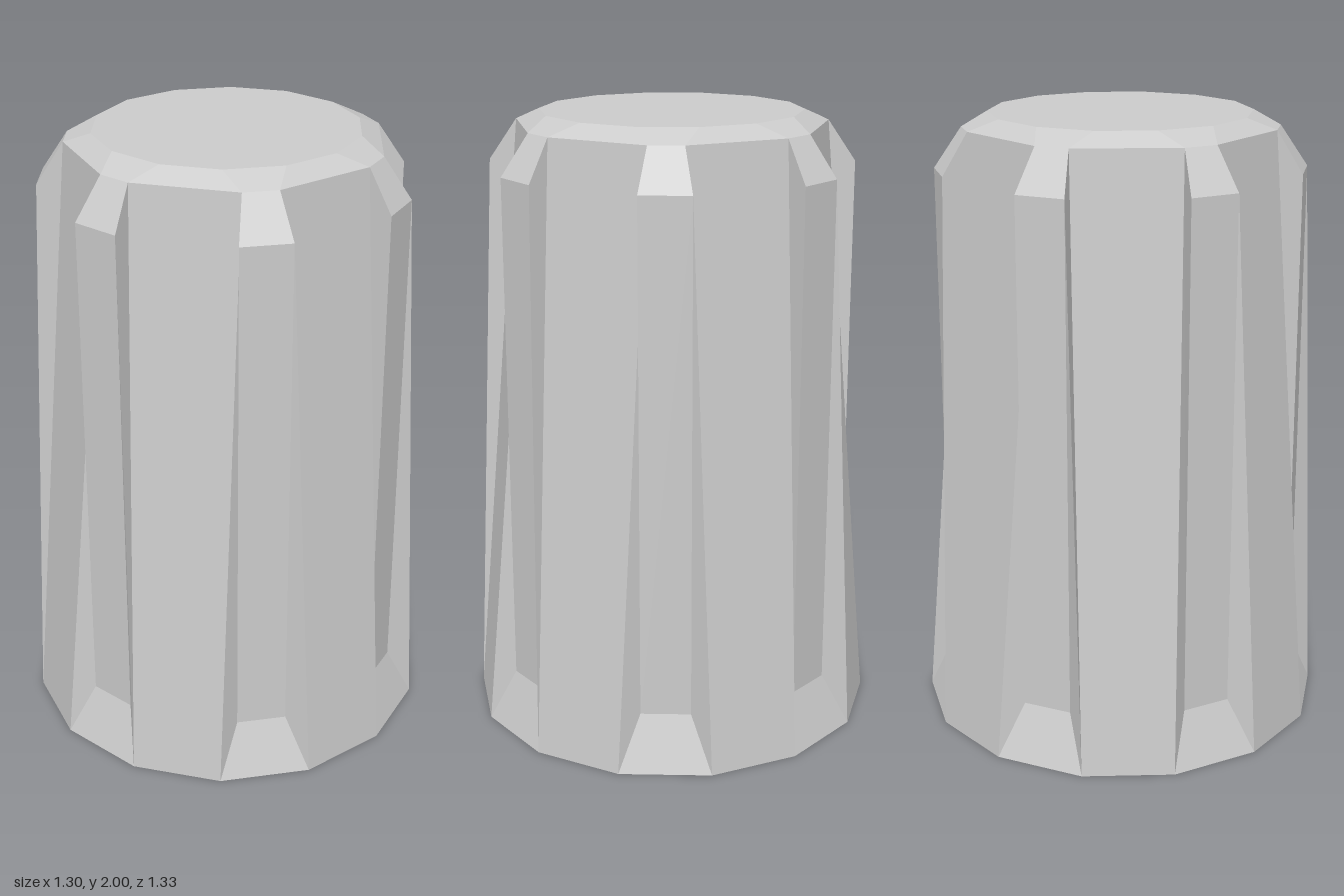
import * as THREE from 'three';

const COUNT = 7; // flutes around the body, alternating with ribs
const STEP = (Math.PI * 2) / COUNT;

// Ring of 14 corners: a pair at each flute, given distance from axis, half width, height
function ring(dist, half, y) {
  const points = [];
  for (let i = 0; i < COUNT; i++) {
    const c = Math.cos(i * STEP), s = Math.sin(i * STEP);
    for (const side of [-half, half]) {
      points.push([c * dist - s * side, y, s * dist + c * side]);
    }
  }
  return points;
}

const base = ring(0.648, 0.148, 0);
const low = ring(0.585, 0.08, 0.18);
const high = ring(0.585, 0.08, 1.83);
const shoulder = ring(0.5, 0.055, 1.96);
const rim = ring(0.41, 0.0935, 2);

// Flat-shaded mesh from a list of triangles
function facets(name, triangles) {
  const geometry = new THREE.BufferGeometry();
  geometry.setAttribute('position', new THREE.Float32BufferAttribute(triangles.flat(2), 3));
  geometry.computeVertexNormals();
  const mesh = new THREE.Mesh(geometry, new THREE.MeshStandardMaterial({
    color: 0xcccccc, flatShading: true, side: THREE.DoubleSide,
  }));
  mesh.name = name;
  return mesh;
}

// Quad between two rings, from corner r (right) to corner l (left)
const band = (lower, upper, r, l) => [
  [lower[l], lower[r], upper[r]],
  [lower[l], upper[r], upper[l]],
];

export function createModel() {
  const group = new THREE.Group();
  group.name = 'flutedCap';
  const flutes = [], ribs = [], walls = [], bevel = [], top = [], bottom = [];

  for (let i = 0; i < COUNT; i++) {
    const a = 2 * i, b = a + 1, c = (a + 2) % (2 * COUNT);
    // Upright flute with a sloping foot and shoulder
    flutes.push(...band(base, low, a, b), ...band(low, high, a, b), ...band(high, shoulder, a, b));
    // Leaning rib between two flutes
    ribs.push(...band(base, shoulder, b, c));
    // Thin walls joining the rib to the flutes on both sides
    walls.push(
      [base[b], low[b], shoulder[b]], [low[b], high[b], shoulder[b]],
      [base[c], shoulder[c], high[c]], [base[c], high[c], low[c]],
    );
    // Bevel up to the rim, then the flat ends
    for (const [r, l] of [[a, b], [b, c]]) {
      bevel.push(...band(shoulder, rim, r, l));
      top.push([[0, 2, 0], rim[l], rim[r]]);
      bottom.push([[0, 0, 0], base[r], base[l]]);
    }
  }

  group.add(
    facets('flutes', flutes), facets('ribs', ribs), facets('ribWalls', walls),
    facets('topBevel', bevel), facets('topFace', top), facets('bottomFace', bottom),
  );
  return group;
}
